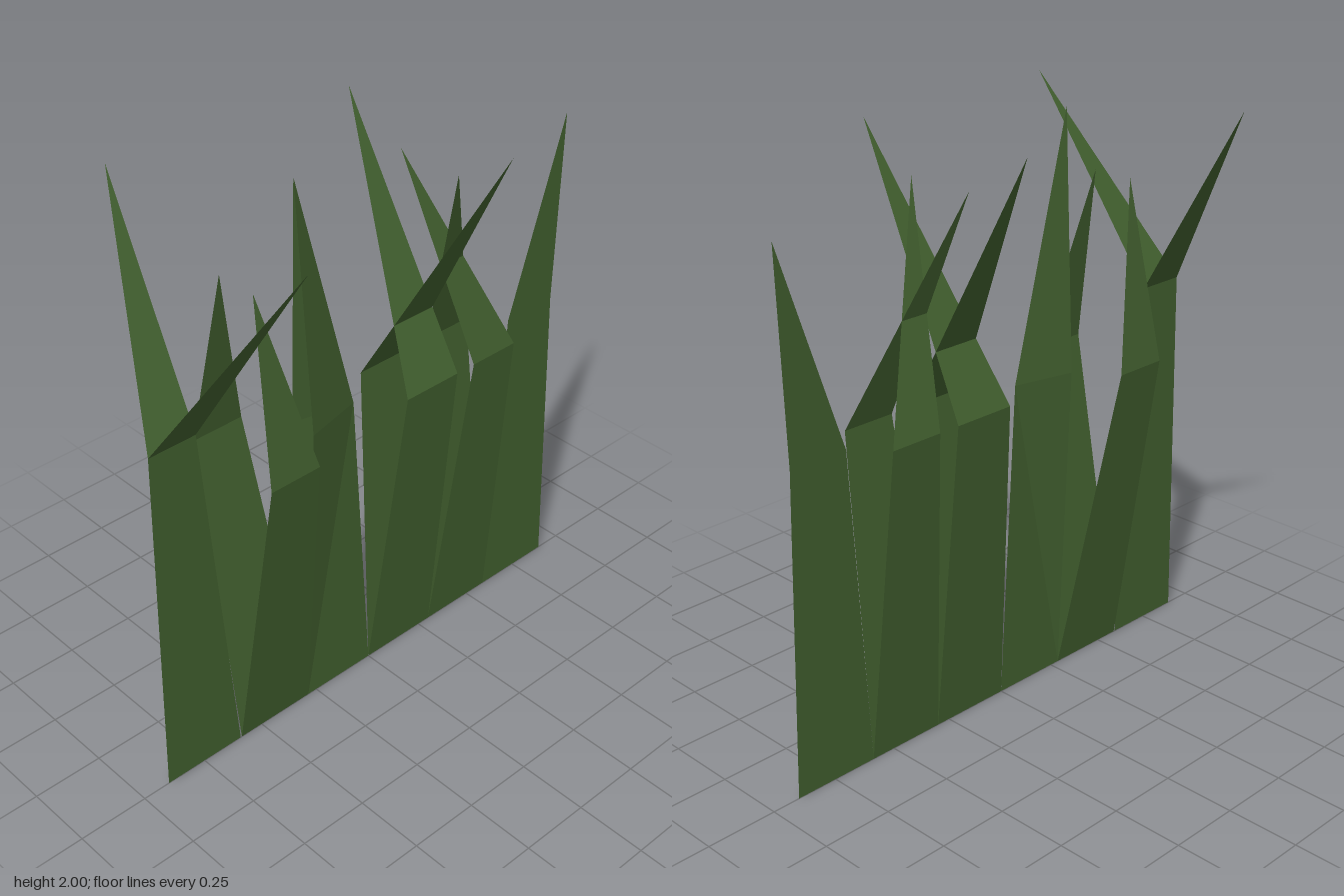
import * as THREE from 'three';

// Each blade runs front to back (z): a base edge on the ground, a bend edge and a tip.
// base and bend are [front z, back z]; bendX is [front x, back x]; tip is [x, y, z].
const BLADES = [
  { base: [0.9, 0.593], bendY: 1.3, bend: [0.873, 0.697], bendX: [0, 0], tip: [0.44, 2, 0.628] },
  { base: [0.588, 0.287], bendY: 1.12, bend: [0.57, 0.376], bendX: [0.185, 0.185], tip: [0.075, 1.74, 0.52] },
  { base: [0.287, 0], bendY: 1.12, bend: [0.281, 0.065], bendX: [0.05, 0], tip: [0, 2, 0.293] },
  { base: [0, -0.3], bendY: 1.12, bend: [-0.07, -0.297], bendX: [0.11, 0.11], tip: [-0.35, 2, -0.247] },
  { base: [-0.3, -0.588], bendY: 1.12, bend: [-0.374, -0.567], bendX: [0.11, 0.11], tip: [-0.125, 1.86, -0.258] },
  { base: [-0.588, -0.9], bendY: 1.12, bend: [-0.657, -0.872], bendX: [0, 0], tip: [0, 1.82, -0.895] },
];

// Builds a flat-faced surface from a list of triangles of [x, y, z] corners
function surface(triangles, name, material) {
  const geometry = new THREE.BufferGeometry();
  geometry.setAttribute('position', new THREE.Float32BufferAttribute(triangles.flat(2), 3));
  geometry.computeVertexNormals();
  const mesh = new THREE.Mesh(geometry, material);
  mesh.name = name;
  return mesh;
}

function createBlade({ base, bendY, bend, bendX, tip }, material) {
  const blade = new THREE.Group();
  blade.name = 'grassBlade';
  const flatStem = bendX[0] === 0 && bendX[1] === 0;

  for (const side of [1, -1]) {
    const baseFront = [0, 0, base[0]];
    const baseBack = [0, 0, base[1]];
    const bendFront = [side * bendX[0], bendY, bend[0]];
    const bendBack = [side * bendX[1], bendY, bend[1]];
    const end = [side * tip[0], tip[1], tip[2]];
    const wind = (t) => (side > 0 ? t : [t[0], t[2], t[1]]);
    const label = side > 0 ? 'left' : 'right';

    // lower part; a stem lying in the middle plane is shared by both sides
    if (side > 0 || !flatStem) {
      const stem = [[baseFront, baseBack, bendBack], [baseFront, bendBack, bendFront]];
      blade.add(surface(stem.map(wind), `${label}Stem`, material));
    }
    // pointed upper part
    if (side > 0 || !flatStem || tip[0] !== 0) {
      blade.add(surface([wind([bendFront, bendBack, end])], `${label}Tip`, material));
    }
  }
  return blade;
}

export function createModel() {
  const model = new THREE.Group();
  model.name = 'grassTuft';
  const material = new THREE.MeshStandardMaterial({
    color: 0x42602f,
    flatShading: true,
    side: THREE.DoubleSide,
  });
  for (const spec of BLADES) model.add(createBlade(spec, material));
  return model;
}
